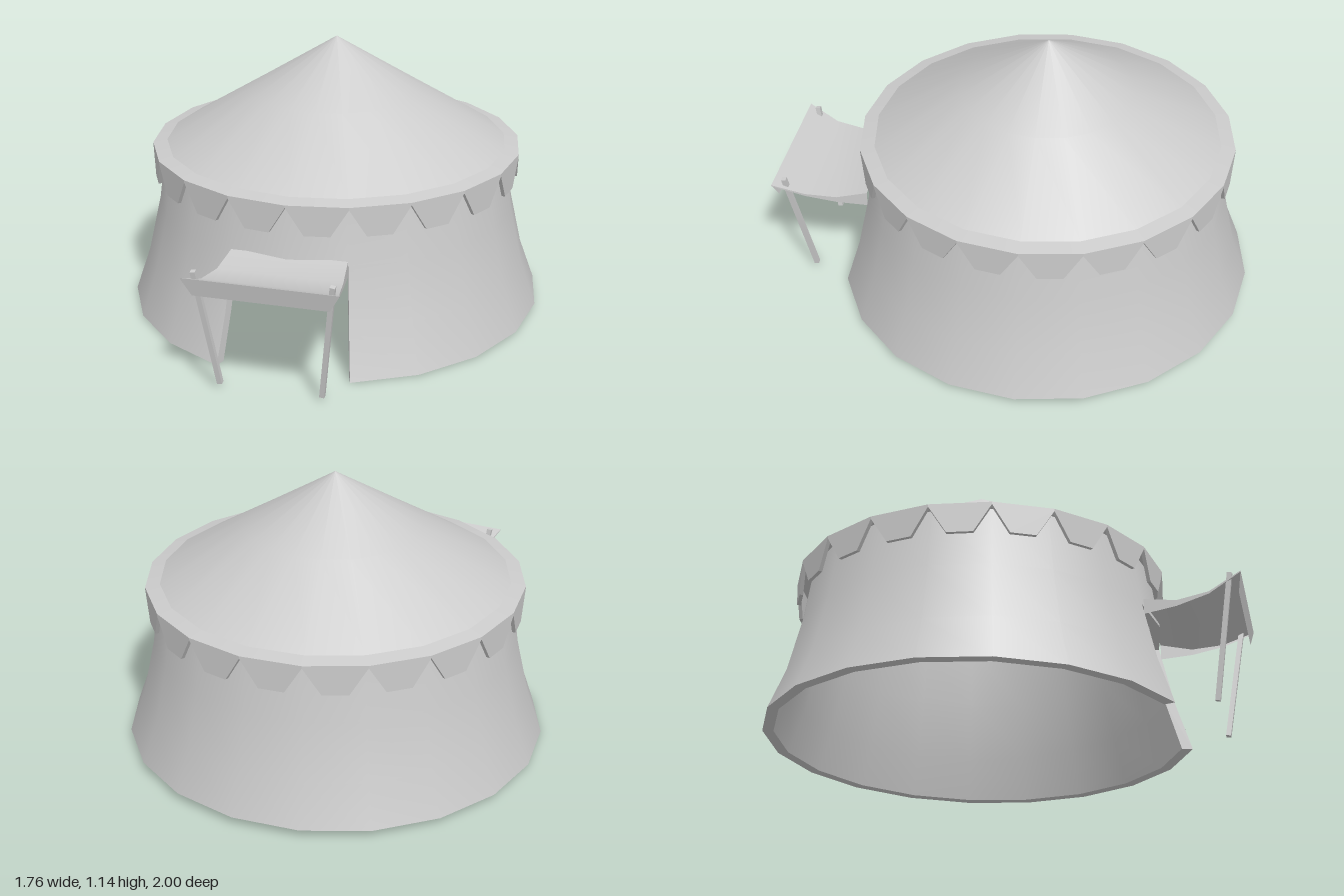
import * as THREE from 'three';

const SIDES = 20, STEP = Math.PI * 2 / SIDES;
const mat = new THREE.MeshStandardMaterial({ color: 0xcccccc, side: THREE.DoubleSide });
const v2 = (list) => list.map(([x, y]) => new THREE.Vector2(x, y));

function add(parent, name, geometry) {
  const mesh = new THREE.Mesh(geometry, mat);
  mesh.name = name;
  parent.add(mesh);
  return mesh;
}

// The hem rises slightly towards the back
function tiltHem(geometry) {
  const p = geometry.attributes.position;
  for (let i = 0; i < p.count; i++) {
    if (p.getY(i) < 0.001) p.setY(i, Math.max(0, 0.0172 - 0.0205 * p.getZ(i)));
  }
  return geometry;
}

// Lathe whose given rows are left open at the two front panels
function latheWithDoor(points, openRow) {
  const g = new THREE.LatheGeometry(v2(points), SIDES);
  const rows = points.length - 1, index = g.index.array, kept = [];
  for (let i = 0; i < SIDES; i++) for (let j = 0; j < rows; j++) {
    if ((i === 0 || i === SIDES - 1) && openRow(j)) continue;
    const k = (i * rows + j) * 6;
    kept.push(...index.slice(k, k + 6));
  }
  g.setIndex(kept);
  return tiltHem(g);
}

// Cloth panel from rows of equal point count
function sheet(rows) {
  const pos = rows.flat(2), idx = [], n = rows[0].length;
  for (let r = 0; r < rows.length - 1; r++) for (let c = 0; c < n - 1; c++) {
    const a = r * n + c;
    idx.push(a, a + n, a + 1, a + 1, a + n, a + n + 1);
  }
  const g = new THREE.BufferGeometry();
  g.setAttribute('position', new THREE.Float32BufferAttribute(pos, 3));
  g.setIndex(idx);
  g.computeVertexNormals();
  return g;
}

// Square bar between two points
function bar(parent, name, from, to, size) {
  const a = new THREE.Vector3(...from), b = new THREE.Vector3(...to);
  const mesh = add(parent, name, new THREE.BoxGeometry(size, a.distanceTo(b), size));
  mesh.position.copy(a).add(b).multiplyScalar(0.5);
  mesh.quaternion.setFromUnitVectors(new THREE.Vector3(0, 1, 0), b.sub(a).normalize());
}

export function createModel() {
  const model = new THREE.Group();
  model.name = 'roundTent';
  const tent = new THREE.Group();
  tent.name = 'tent';
  tent.position.z = -0.12;
  model.add(tent);

  // Flared double wall with a doorway
  const outer = [[0.88, 0], [0.815, 0.2], [0.76, 0.44], [0.725, 0.69]];
  const inner = [[0.835, 0], [0.775, 0.2], [0.72, 0.44], [0.69, 0.69]];
  add(tent, 'outerWall', latheWithDoor(outer, (j) => j < 2));
  add(tent, 'innerWall', latheWithDoor([...inner].reverse(), (j) => j > 0));
  add(tent, 'wallHem', latheWithDoor([inner[0], outer[0]], () => true));
  add(tent, 'doorLintel', new THREE.LatheGeometry(v2([inner[2], outer[2]]), 2, -STEP, STEP * 2));
  for (const side of [-1, 1]) {
    const shape = new THREE.Shape(v2([...outer.slice(0, 3), ...inner.slice(0, 3).reverse()]));
    add(tent, side > 0 ? 'leftDoorJamb' : 'rightDoorJamb',
      new THREE.ShapeGeometry(shape).rotateY(side * STEP - Math.PI / 2));
  }

  // Conical roof with a flatter eave
  add(tent, 'roof', new THREE.LatheGeometry(v2([[0.72, 0.702], [0.36, 0.922], [0, 1.145]]), SIDES));
  add(tent, 'eave', new THREE.LatheGeometry(v2([[0.78, 0.69], [0.72, 0.702]]), SIDES));

  // Scalloped valance, one tooth per side
  const half = 0.78 * Math.sin(STEP / 2), apothem = 0.78 * Math.cos(STEP / 2);
  const tooth = new THREE.ExtrudeGeometry(new THREE.Shape(v2([
    [-half, 0.69], [-half, 0.68], [-half * 0.42, 0.567], [half * 0.42, 0.567], [half, 0.68], [half, 0.69],
  ])), { depth: 0.015, bevelEnabled: false }).translate(0, 0, apothem - 0.015);
  const valance = new THREE.Group();
  valance.name = 'valance';
  tent.add(valance);
  for (let i = 0; i < SIDES; i++) {
    add(valance, 'valanceTooth', tooth).rotation.y = (i + 0.5) * STEP;
  }

  // Sagging awning: half width, height, depth, side drop
  const awning = new THREE.Group();
  awning.name = 'awning';
  model.add(awning);
  const sag = [[0.235, 0.462, 0.61, 0.065], [0.25, 0.435, 0.74, 0.025], [0.268, 0.45, 0.87, 0.01], [0.303, 0.508, 1, 0.005]];
  add(awning, 'awningCloth', sheet(sag.map(([w, y, z]) => [[-w, y, z], [w, y, z]])));
  for (const s of [-1, 1]) {
    add(awning, 'awningSideFlap', sheet(sag.map(([w, y, z, d]) => [[s * w, y, z], [s * w, y - d, z]])));
  }
  add(awning, 'awningFrontFlap', sheet([
    [[-0.303, 0.508, 1], [0.303, 0.508, 1]], [[-0.262, 0.435, 0.985], [0.262, 0.435, 0.985]],
  ]));

  // Slanted awning poles
  for (const s of [-1, 1]) {
    bar(awning, 'awningPole', [s * 0.203, 0.018, 0.872], [s * 0.266, 0.52, 0.955], 0.02);
  }
  return model;
}
